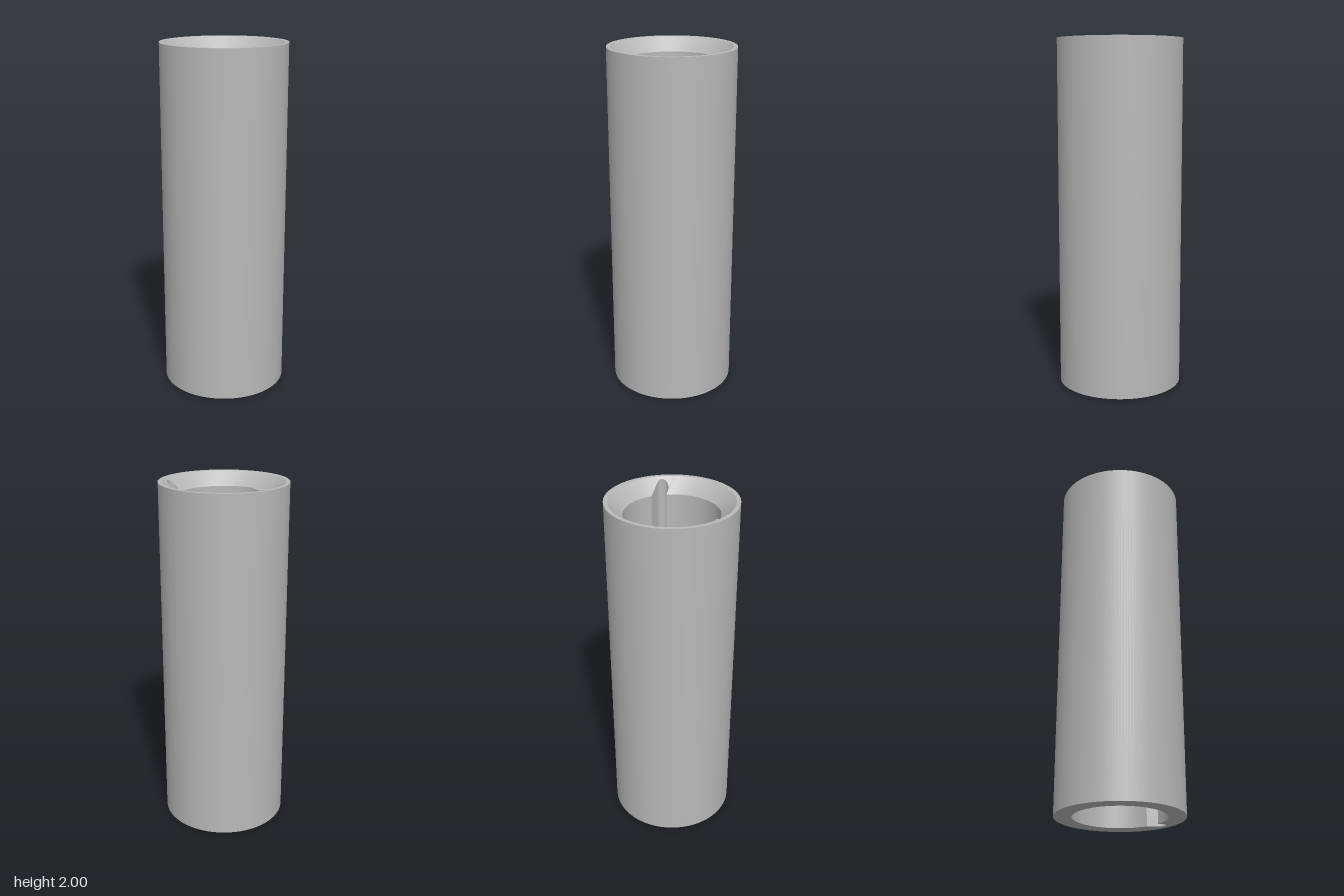
import * as THREE from 'three';
import { toCreasedNormals } from 'three/addons/utils/BufferGeometryUtils.js';

const HEIGHT = 2, OUTER = 0.356, RIM = 0.333, BORE = 0.257;
const CHAMFER = RIM - BORE; // 45 degree countersink
const SLOT_Z = -0.1685, SLOT_R = 0.0315, SLOT_X = 0.2365; // round-ended side slot

// Plan outline of the bore with its slot, each point paired with an angle on the outer circles
function boreOutline() {
  const points = [];
  const lowW = -SLOT_Z - SLOT_R, highW = -SLOT_Z + SLOT_R;
  const start = Math.asin(highW / BORE);
  const end = Math.asin(lowW / BORE) + Math.PI * 2;
  const outerStart = THREE.MathUtils.degToRad(54);
  const outerEnd = THREE.MathUtils.degToRad(22 + 360);
  const lerp = THREE.MathUtils.lerp;

  const boreSteps = 132;
  for (let i = 0; i <= boreSteps; i++) {
    const a = lerp(start, end, i / boreSteps);
    points.push({ x: BORE * Math.cos(a), z: -BORE * Math.sin(a), a: lerp(outerStart, outerEnd, i / boreSteps) });
  }

  const slot = [];
  const arcSteps = 14;
  for (let i = 0; i <= arcSteps; i++) {
    const a = -Math.PI / 2 + Math.PI * i / arcSteps;
    slot.push([SLOT_X + SLOT_R * Math.cos(a), SLOT_Z - SLOT_R * Math.sin(a)]);
  }
  const mouth = BORE * Math.cos(start);
  for (const t of [0.33, 0.67]) slot.push([lerp(SLOT_X, mouth, t), -highW]);
  slot.forEach(([x, z], i) => points.push({
    x, z, a: lerp(outerEnd, outerStart + Math.PI * 2, (i + 1) / (slot.length + 1)),
  }));
  return points;
}

// Closed tube wall: bore, countersink, rim, outside and base joined ring by ring
function tubeGeometry() {
  const outline = boreOutline();
  const n = outline.length;
  const circle = (r, y) => outline.map(p => [r * Math.cos(p.a), y, -r * Math.sin(p.a)]);
  const rings = [
    outline.map(p => [p.x, 0, p.z]),
    outline.map(p => [p.x, HEIGHT - CHAMFER + Math.hypot(p.x, p.z) - BORE, p.z]),
    circle(RIM, HEIGHT),
    circle(OUTER, HEIGHT),
    circle(OUTER, 0),
  ];
  const index = [];
  rings.forEach((_, k) => {
    const a = k * n, b = ((k + 1) % rings.length) * n;
    for (let i = 0; i < n; i++) {
      const j = (i + 1) % n;
      index.push(a + i, b + i, a + j, b + i, b + j, a + j);
    }
  });
  const geometry = new THREE.BufferGeometry();
  geometry.setAttribute('position', new THREE.Float32BufferAttribute(rings.flat(2), 3));
  geometry.setIndex(index);
  return toCreasedNormals(geometry, 0.4);
}

export function createModel() {
  const model = new THREE.Group();
  model.name = 'slottedTube';
  const grey = new THREE.MeshStandardMaterial({ color: 0xb8b8b8 });
  grey.name = 'grey';

  const tube = new THREE.Mesh(tubeGeometry(), grey);
  tube.name = 'tubeBody';

  // Raised key running down the front of the bore
  const bottom = 0.1, top = HEIGHT - CHAMFER, inner = 0.235, buried = 0.261;
  const key = new THREE.Mesh(new THREE.BoxGeometry(0.074, top - bottom, buried - inner), grey);
  key.position.set(0, (top + bottom) / 2, (inner + buried) / 2);
  key.name = 'innerKey';

  model.add(tube, key);
  return model;
}
